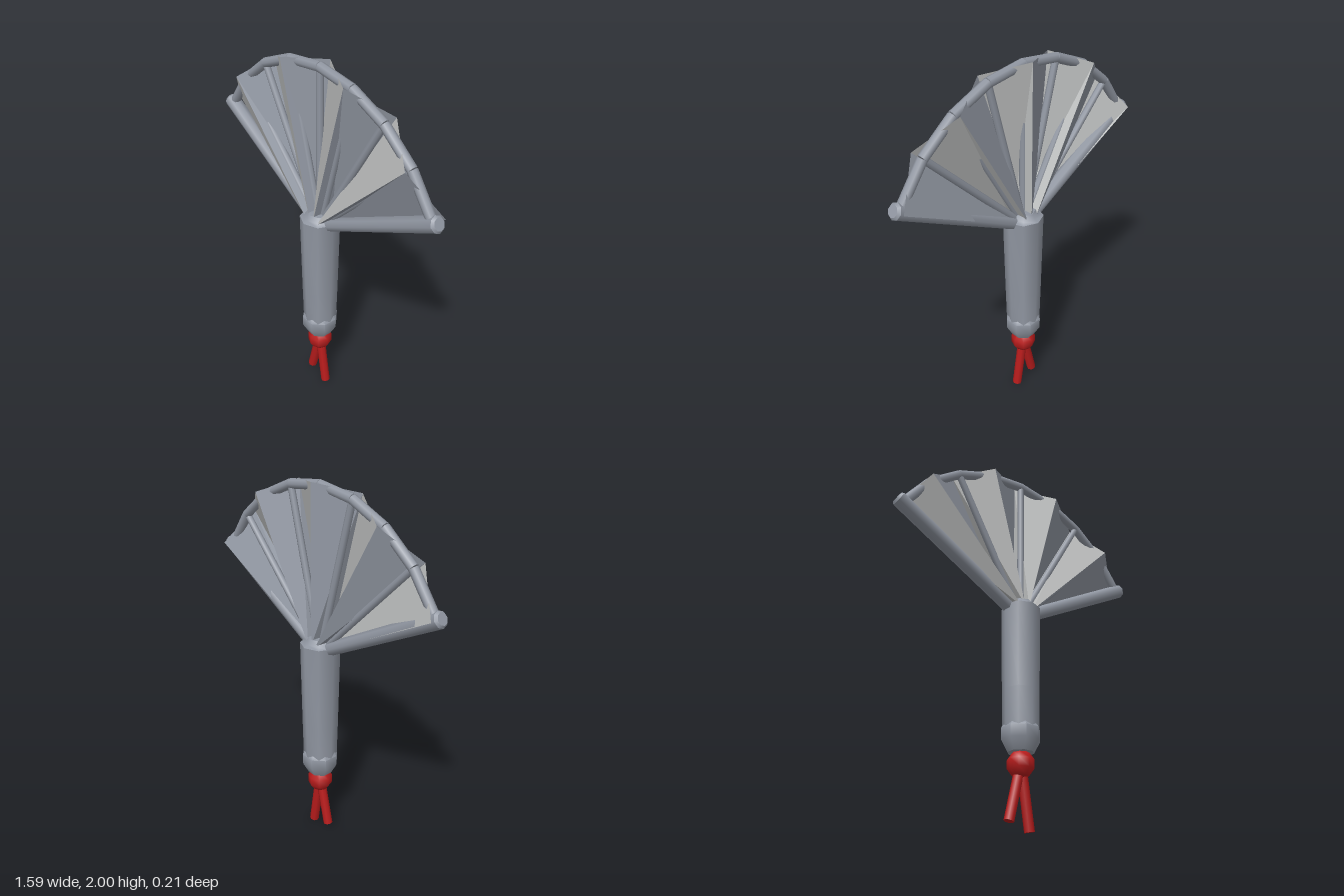
import * as THREE from 'three';
import { toCreasedNormals } from 'three/addons/utils/BufferGeometryUtils.js';

const PIVOT_Y = 1.12;
const FOLDS = 8;

// Point on the fan at fold i (0 = +x guard), at a given radius and depth
function fanPoint(i, radius, z = 0) {
  const edge = i === 0 ? -0.022 : i === FOLDS ? 0.022 : 0; // guards open slightly wider
  const a = Math.PI / 6 + i * Math.PI / 12 + edge;
  return new THREE.Vector3(Math.cos(a) * radius, PIVOT_Y + Math.sin(a) * radius, z);
}

function makeMaterial(name, color, options = {}) {
  const material = new THREE.MeshStandardMaterial({ color, ...options });
  material.name = name;
  return material;
}

export function createModel() {
  const grey = makeMaterial('steelGrey', 0x9096a1);
  const darkLeaf = makeMaterial('leafBlueGrey', 0x9298a3, { side: THREE.DoubleSide });
  const paleLeaf = makeMaterial('leafPaleGrey', 0xbabcbc, { side: THREE.DoubleSide });
  const red = makeMaterial('tasselRed', 0xb81c1c);

  const group = new THREE.Group();
  group.name = 'foldingFan';

  function add(name, geometry, material) {
    const mesh = new THREE.Mesh(geometry, material);
    mesh.name = name;
    group.add(mesh);
    return mesh;
  }

  // Smooth round rod between two points
  function rod(name, from, to, r0, r1, material) {
    const dir = to.clone().sub(from);
    const mesh = add(name, new THREE.CylinderGeometry(r1, r0, dir.length(), 8), material);
    mesh.position.copy(from).add(to).multiplyScalar(0.5);
    mesh.quaternion.setFromUnitVectors(new THREE.Vector3(0, 1, 0), dir.normalize());
  }

  function turned(name, profile, material) {
    const points = profile.map(([r, y]) => new THREE.Vector2(r, y));
    return add(name, toCreasedNormals(new THREE.LatheGeometry(points, 8), 0.9), material);
  }

  // Handle with domed top, and pommel turned half a facet so it scallops the joint
  turned('handle', [[0, 0.46], [0.092, 0.46], [0.097, 0.7], [0.105, 1.17], [0.082, 1.18], [0.065, 1.205], [0, 1.21]], grey);
  turned('pommel', [[0, 0.375], [0.068, 0.38], [0.1, 0.44], [0.101, 0.5], [0.085, 0.52], [0, 0.52]], grey)
    .rotation.y = Math.PI / 8;

  // Depth of the leaf crease at fold i; the outer edges tuck in against the guards
  const foldDepth = (i, inner) => {
    if (i === 0 || i === FOLDS) return inner ? -0.025 : -0.055;
    return i % 2 ? 0.057 : -0.06;
  };

  // Pleated leaf, alternating blue-grey and pale panels
  for (let i = 0; i < FOLDS; i++) {
    const a = fanPoint(i, 0.05, foldDepth(i, true)), b = fanPoint(i, 0.875, foldDepth(i, false));
    const c = fanPoint(i + 1, 0.875, foldDepth(i + 1, false)), d = fanPoint(i + 1, 0.05, foldDepth(i + 1, true));
    const panel = new THREE.BufferGeometry().setFromPoints([a, b, c, a, c, d]);
    panel.computeVertexNormals();
    add('leafPanel', panel, i % 2 ? paleLeaf : darkLeaf);
  }

  // Ribs, with stout guards on the two outer edges
  for (let i = 0; i <= FOLDS; i++) {
    if (i === 0 || i === FOLDS) {
      rod('guard', fanPoint(i, 0.05), fanPoint(i, 0.88), 0.036, 0.041, grey);
      rod('guardTip', fanPoint(i, 0.88), fanPoint(i, 0.892), 0.041, 0.03, grey);
    } else {
      rod('rib', fanPoint(i, 0.05), fanPoint(i, 0.855), 0.02, 0.018, grey);
    }
  }

  // Rim rod, straight across each pleat
  for (let i = 0; i < FOLDS; i++) {
    rod('rim', fanPoint(i, 0.855), fanPoint(i + 1, 0.855), 0.025, 0.025, grey);
  }

  // Tassel knot and its two cords
  add('tasselKnot', new THREE.SphereGeometry(0.072, 8, 5), red).position.y = 0.323;
  rod('tasselCord', new THREE.Vector3(-0.005, 0.31, 0), new THREE.Vector3(-0.07, 0.044, 0), 0.026, 0.026, red);
  rod('tasselCord', new THREE.Vector3(0.005, 0.31, 0), new THREE.Vector3(0.053, 0.005, 0), 0.026, 0.026, red);

  return group;
}
